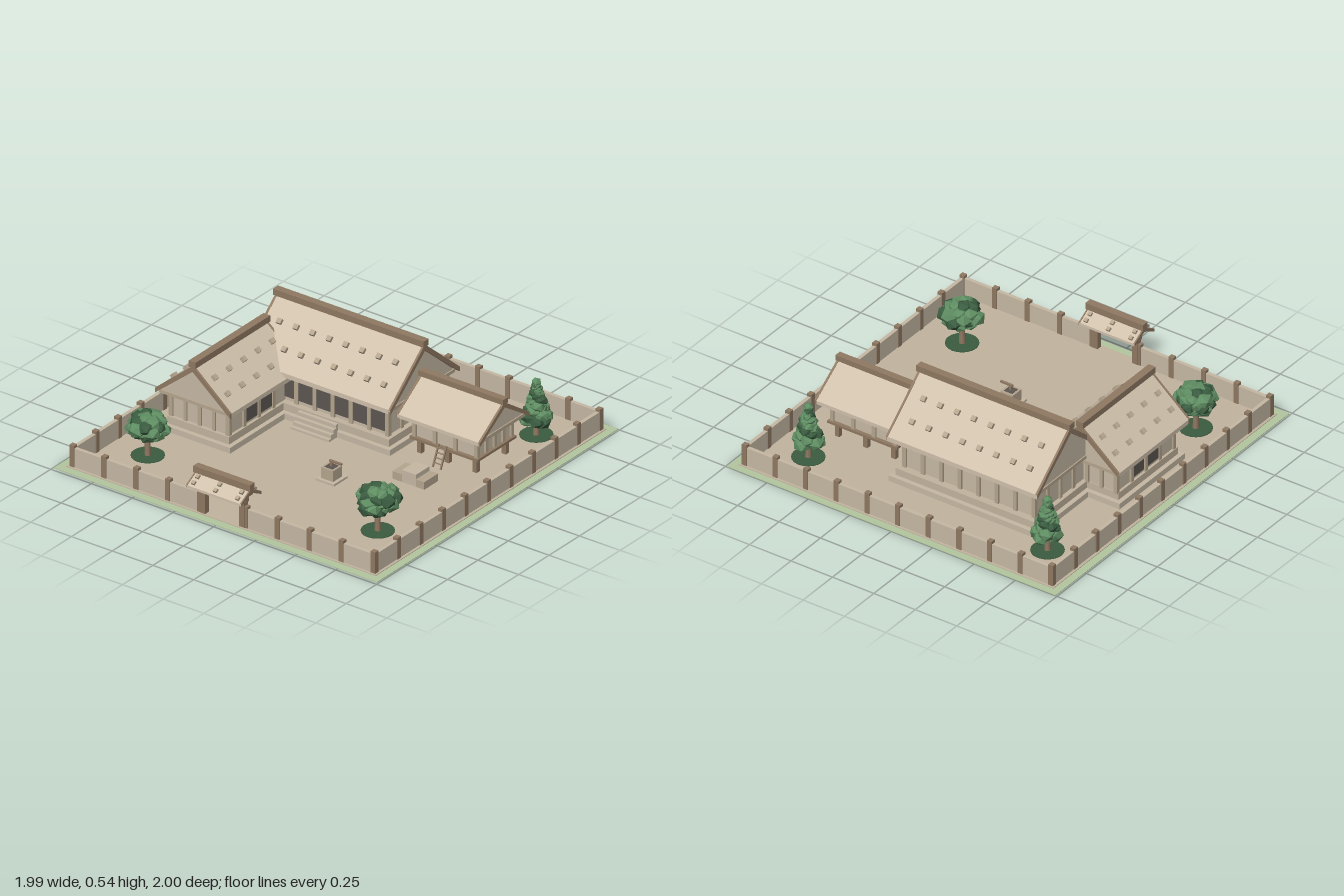
import * as THREE from 'three';
import { mergeGeometries } from 'three/addons/utils/BufferGeometryUtils.js';

const mat = (name, color, extra = {}) =>
  Object.assign(new THREE.MeshStandardMaterial({ color, ...extra }), { name });
const M = {
  sand: mat('sand', 0xc2b49e),
  grass: mat('grass', 0xb4c79f),
  roof: mat('roof boards', 0xd0c1ac),
  plaster: mat('plaster', 0xc6b9a4),
  timber: mat('dark timber', 0x8f7962),
  post: mat('pale timber', 0xb5a58e),
  dark: mat('dark opening', 0x5c5752),
  leaf: mat('leaf green', 0x5f8d62, { flatShading: true }),
  shade: mat('deep green', 0x3a5c40, { flatShading: true }),
};

let seed = 7;
const rnd = () => (seed = (seed * 16807) % 2147483647) / 2147483647;

function add(parent, name, geo, material, x = 0, y = 0, z = 0) {
  const m = new THREE.Mesh(geo, material);
  m.name = name;
  m.position.set(x, y, z);
  parent.add(m);
  return m;
}
// box standing on y
function box(parent, name, material, w, h, d, x, y, z) {
  return add(parent, name, new THREE.BoxGeometry(w, h, d), material, x, y + h / 2, z);
}
function group(parent, name, x = 0, y = 0, z = 0) {
  const g = new THREE.Group();
  g.name = name;
  g.position.set(x, y, z);
  parent.add(g);
  return g;
}
// cross-section of [z, y] points drawn out along x
function prism(points, len) {
  const shape = new THREE.Shape(points.map(([a, b]) => new THREE.Vector2(a, b)));
  return new THREE.ExtrudeGeometry(shape, { depth: len, bevelEnabled: false })
    .translate(0, 0, -len / 2).rotateY(Math.PI / 2);
}

// gabled roof with ridge along x: slabs, bargeboards, ridge beam and battens
function gableRoof(parent, { len, half, eave, peak, t, ridgeW, ridgeH, over, cols = [], rows = [], b = 0.027, board = 0.012 }) {
  const chevron = (lift, drop) => [
    [-half, eave], [0, peak - t - drop], [half, eave], [half, eave + t + lift], [0, peak + lift], [-half, eave + t + lift]];
  add(parent, 'roofSlopes', prism(chevron(0, 0), len), M.roof);
  for (const s of [-1, 1])
    add(parent, 'bargeboard', prism(chevron(0.002, 0.006), board), M.timber, s * (len / 2 - board / 2 + 0.002));
  box(parent, 'ridgeBeam', M.timber, len + over, ridgeH, ridgeW, 0, peak - 0.006, 0);
  const slope = Math.atan2(peak - eave - t, half);
  for (const s of [-1, 1]) for (const r of rows) for (const x of cols) {
    const y = peak - (peak - eave - t) * r;
    const m = add(parent, 'roofBatten', new THREE.BoxGeometry(b, b * 0.8, b), M.post, x, y + b * 0.3, s * half * r);
    m.rotation.x = s * slope;
  }
}

// house with ridge along x
function house(parent, name, x, z, o) {
  const g = group(parent, name, x, 0, z);
  gableRoof(g, o);
  const { wallLen: wl, wallHalf: wh, floor, half, eave, peak, t } = o;
  const wallTop = eave + (peak - eave - t) * (1 - wh / half);
  add(g, 'walls', prism([[-wh, floor], [wh, floor], [wh, wallTop], [0, peak - t], [-wh, wallTop]], wl), M.plaster);
  for (const s of [-1, 1]) {
    const gx = s * (o.len / 2 - 0.03);
    add(g, 'gablePanel', prism([[-half * 0.95, eave + 0.008], [half * 0.95, eave + 0.008], [0, peak - t]], 0.012), M.plaster, gx);
    box(g, 'tieBeam', M.post, 0.025, 0.018, half * 1.9, gx, eave - 0.004, 0);
    // wall posts and rails
    for (let i = 0; i <= o.bays; i++)
      box(g, 'wallPost', M.post, 0.022, eave - floor + 0.02, 0.022, -wl / 2 + (wl * i) / o.bays, floor, s * wh);
    for (let i = 1; i < 4; i++)
      box(g, 'endPost', M.post, 0.02, eave - floor, 0.02, s * wl / 2, floor, -wh + (i * wh) / 2);
    box(g, 'wallRail', M.post, wl, 0.014, 0.016, 0, eave - 0.015, s * wh);
  }
  return g;
}

function platform(parent, x0, x1, z0, z1) {
  const cx = (x0 + x1) / 2, cz = (z0 + z1) / 2, w = x1 - x0, d = z1 - z0;
  box(parent, 'lowerPlatform', M.plaster, w, 0.04, d, cx, 0, cz);
  box(parent, 'upperPlatform', M.sand, w - 0.05, 0.045, d - 0.05, cx, 0.035, cz);
}

// foliage from scattered faceted clumps, tapered toward the top
function tree(parent, x, z, y0, y1, radius, taper, count, clump) {
  const g = group(parent, 'tree', x, 0, z);
  add(g, 'shadePatch', new THREE.CylinderGeometry(0.085, 0.085, 0.004, 20), M.shade, 0, 0.01, 0);
  add(g, 'trunk', new THREE.CylinderGeometry(0.012, 0.018, y0 + 0.06, 7), M.timber, 0, (y0 + 0.06) / 2, 0);
  const sets = [[], []];
  for (let i = 0; i < count; i++) {
    const f = (i + 0.5) / count, a = i * 2.4;
    const width = taper ? 1 - 0.85 * f : Math.sqrt(1 - Math.pow(2 * f - 1, 2) * 0.8);
    const s = clump * (taper ? 1.1 - 0.5 * f : 1) * (0.8 + 0.4 * rnd());
    const r = Math.max(0, radius * width - s * 0.75) * (0.55 + 0.45 * rnd());
    const geo = new THREE.IcosahedronGeometry(s, 0)
      .applyMatrix4(new THREE.Matrix4().makeRotationFromEuler(new THREE.Euler(rnd() * 6, rnd() * 6, rnd() * 6)))
      .scale(1, 0.8, 1)
      .translate(Math.cos(a) * r, y0 + clump * 0.7 + (y1 - y0 - clump * 1.4) * f, Math.sin(a) * r);
    sets[i % 3 === 0 ? 1 : 0].push(geo);
  }
  add(g, 'foliage', mergeGeometries(sets[0]), M.leaf);
  add(g, 'deepFoliage', mergeGeometries(sets[1]), M.shade);
}

// run of wall with posts between two points
function fence(parent, ax, az, bx, bz, n) {
  const alongX = az === bz, len = Math.abs(bx - ax) + Math.abs(bz - az);
  box(parent, 'courtyardWall', M.plaster, alongX ? len : 0.02, 0.11, alongX ? 0.02 : len, (ax + bx) / 2, 0.002, (az + bz) / 2);
  for (let i = 0; i <= n; i++)
    box(parent, 'wallPier', M.timber, 0.028, 0.125, 0.028, ax + ((bx - ax) * i) / n, 0.002, az + ((bz - az) * i) / n);
}

export function createModel() {
  const root = new THREE.Group();
  root.name = 'walledFarmstead';

  // ground and courtyard wall
  box(root, 'grassBorder', M.grass, 1.985, 0.004, 1.985, 0, 0.0005, -0.0075);
  box(root, 'courtyard', M.sand, 1.9, 0.008, 1.9, 0, 0, -0.01);
  const W = 0.925, B = -0.935, F = 0.915;
  const wall = group(root, 'boundaryWall');
  fence(wall, -W, B, W, B, 10);
  for (const s of [-1, 1]) {
    fence(wall, s * W, B, s * W, F, 10);
    fence(wall, s * W, F, s * 0.14, F, 4);
  }

  // gate
  const gate = group(root, 'gate', 0, 0, F);
  gableRoof(gate, { len: 0.335, half: 0.084, eave: 0.165, peak: 0.228, t: 0.014, ridgeW: 0.04, ridgeH: 0.036, over: 0.012,
    cols: [-0.135, 0, 0.135], rows: [0.4, 0.8], b: 0.02, board: 0.008 });
  for (const s of [-1, 1]) {
    box(gate, 'gatePost', M.timber, 0.032, 0.2, 0.032, s * 0.12, 0, 0);
    box(gate, 'gateBracket', M.timber, 0.02, 0.016, 0.13, s * 0.12, 0.16, 0);
  }
  box(gate, 'gateLintel', M.timber, 0.29, 0.02, 0.024, 0, 0.15, 0);

  // main hall with a row of dark bays on the front
  platform(root, -0.62, 0.265, -0.65, -0.095);
  const hall = house(root, 'mainHall', -0.18, -0.37, {
    len: 0.91, half: 0.285, eave: 0.245, peak: 0.515, t: 0.025, ridgeW: 0.042, ridgeH: 0.034, over: 0.016,
    cols: Array.from({ length: 8 }, (_, i) => -0.356 + i * 0.1017), rows: [0.375, 0.715],
    wallLen: 0.78, wallHalf: 0.215, floor: 0.075, bays: 7 });
  for (let i = 1; i < 7; i++)
    box(hall, 'frontDoor', M.dark, 0.095, 0.135, 0.008, -0.39 + (i + 0.5) * 0.78 / 7, 0.1, 0.216);

  // front steps
  for (let i = 0; i < 4; i++)
    box(root, 'step', M.plaster, 0.235, 0.02 * (i + 1), 0.02, -0.178, 0, -0.04 - i * 0.019);

  // side wing, ridge running toward the front
  platform(root, -0.81, -0.38, -0.2, 0.355);
  const wing = house(root, 'sideWing', -0.596, 0.07, {
    len: 0.605, half: 0.231, eave: 0.215, peak: 0.435, t: 0.025, ridgeW: 0.042, ridgeH: 0.034, over: 0.012,
    cols: [-0.236, -0.118, 0, 0.118, 0.236], rows: [0.37, 0.71],
    wallLen: 0.48, wallHalf: 0.175, floor: 0.075, bays: 4 });
  wing.rotation.y = Math.PI / 2;
  for (const s of [-1, 1]) for (const x of [-0.06, 0.06])
    box(wing, 'wingDoor', M.dark, 0.095, 0.125, 0.008, x, 0.095, s * 0.176);

  // raised storehouse on stilts, with a ladder
  const store = house(root, 'storehouse', 0.53, -0.342, {
    len: 0.51, half: 0.203, eave: 0.208, peak: 0.368, t: 0.02, ridgeW: 0.038, ridgeH: 0.03, over: 0.012,
    wallLen: 0.38, wallHalf: 0.14, floor: 0.1, bays: 3 });
  box(store, 'storeFloor', M.timber, 0.42, 0.014, 0.32, 0, 0.088, 0);
  for (const x of [-0.17, 0, 0.17]) for (const z of [-0.12, 0.12])
    box(store, 'stilt', M.timber, 0.026, 0.09, 0.026, x, 0, z);
  const ladder = group(store, 'ladder', 0, 0, 0.2);
  ladder.rotation.x = -0.42;
  for (const s of [-1, 1]) box(ladder, 'ladderRail', M.timber, 0.008, 0.12, 0.008, s * 0.024, 0.004, 0.02);
  for (let i = 0; i < 4; i++) box(ladder, 'rung', M.timber, 0.048, 0.006, 0.006, 0, 0.025 + i * 0.026, 0.02);

  // crates
  const crates = group(root, 'crates', 0.512, 0, 0.028);
  box(crates, 'leftCrate', M.post, 0.06, 0.05, 0.112, -0.068, 0, 0);
  box(crates, 'middleCrate', M.plaster, 0.086, 0.075, 0.112, 0.004, 0, 0);
  box(crates, 'rightCrate', M.post, 0.052, 0.05, 0.112, 0.072, 0, 0);

  // well with its crossbar
  const well = group(root, 'well', 0.178, 0, 0.268);
  box(well, 'wellBase', M.plaster, 0.113, 0.02, 0.113, 0, 0, 0);
  box(well, 'wellCurb', M.post, 0.075, 0.07, 0.075, 0, 0.01, 0);
  box(well, 'wellMouth', M.dark, 0.05, 0.004, 0.05, 0, 0.078, 0);
  box(well, 'wellPost', M.timber, 0.012, 0.04, 0.012, 0, 0.075, 0);
  box(well, 'wellBar', M.timber, 0.075, 0.01, 0.012, 0.025, 0.105, 0);

  // trees
  tree(root, -0.695, 0.61, 0.1, 0.255, 0.125, false, 34, 0.046);
  tree(root, 0.68, 0.56, 0.1, 0.265, 0.125, false, 34, 0.046);
  tree(root, -0.73, -0.7, 0.06, 0.335, 0.095, true, 38, 0.04);
  tree(root, 0.71, -0.705, 0.06, 0.335, 0.095, true, 38, 0.04);
  return root;
}
